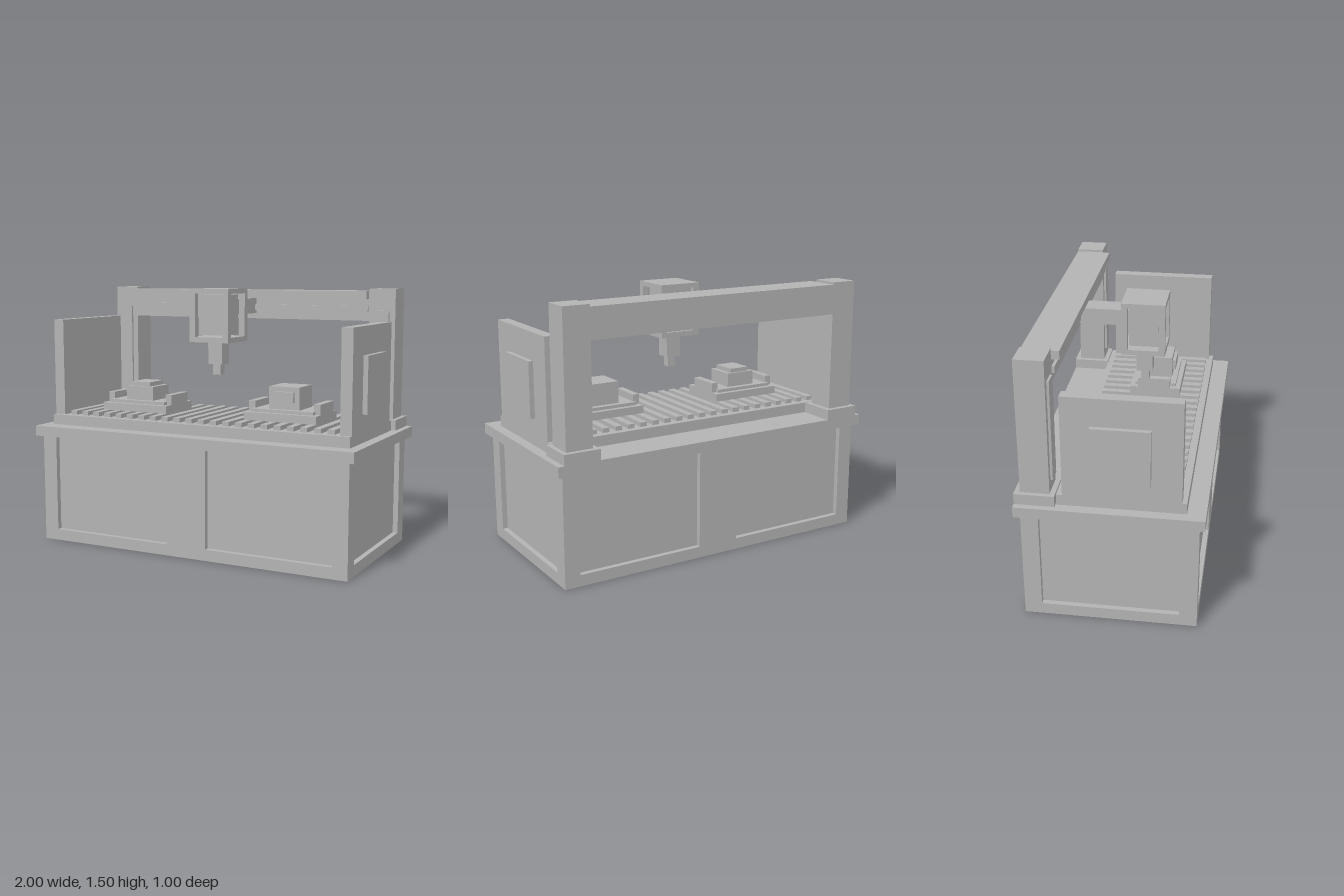
import * as THREE from 'three';

const grey = new THREE.MeshStandardMaterial({ color: 0xb3b3b3 });
grey.name = 'machine grey';

// Box given by its two extreme corners
function box(parent, name, [x0, x1], [y0, y1], [z0, z1]) {
  const mesh = new THREE.Mesh(new THREE.BoxGeometry(x1 - x0, y1 - y0, z1 - z0), grey);
  mesh.position.set((x0 + x1) / 2, (y0 + y1) / 2, (z0 + z1) / 2);
  mesh.name = name;
  parent.add(mesh);
  return mesh;
}

// The same box on the +x side and mirrored on the -x side
function pair(parent, name, [x0, x1], y, z) {
  box(parent, name + 'Left', [x0, x1], y, z);
  box(parent, name + 'Right', [-x1, -x0], y, z);
}

function group(parent, name) {
  const g = new THREE.Group();
  g.name = name;
  parent.add(g);
  return g;
}

// Cabinet: recessed core with bottom rail, corner posts and centre posts
function buildCabinet(root) {
  const g = group(root, 'cabinet');
  box(g, 'cabinetCore', [-0.935, 0.935], [0.065, 0.63], [-0.44, 0.44]);
  box(g, 'bottomRail', [-0.965, 0.965], [0, 0.065], [-0.47, 0.47]);
  for (const [z0, z1] of [[0.375, 0.47], [-0.47, -0.375]])
    pair(g, 'cornerPost', [0.875, 0.965], [0.065, 0.63], [z0, z1]);
  box(g, 'frontCentrePost', [-0.125, 0.125], [0.065, 0.63], [0.44, 0.47]);
  box(g, 'backCentrePost', [-0.125, 0.125], [0.065, 0.63], [-0.47, -0.44]);
  box(g, 'tableTop', [-1, 1], [0.63, 0.69], [-0.5, 0.5]);
}

// Work bed with a row of slats
function buildBed(root) {
  const g = group(root, 'workBed');
  box(g, 'bed', [-0.94, 0.94], [0.69, 0.75], [-0.28, 0.4]);
  for (let i = 0; i < 22; i++) {
    const x = (i - 10.5) * 0.0781;
    box(g, 'slat', [x - 0.02, x + 0.02], [0.75, 0.775], [-0.24, 0.36]);
  }
}

// Guard panels, columns and the cross beam
function buildGantry(root) {
  const g = group(root, 'gantry');
  pair(g, 'guardPanel', [0.875, 0.94], [0.75, 1.315], [-0.248, 0.375]);
  pair(g, 'guardPlate', [0.94, 0.967], [0.845, 1.16], [-0.095, 0.215]);
  pair(g, 'columnFoot', [0.755, 0.965], [0.69, 0.75], [-0.5, -0.285]);
  pair(g, 'column', [0.785, 0.94], [0.75, 1.5], [-0.47, -0.313]);
  pair(g, 'columnRail', [0.82, 0.905], [0.815, 1.375], [-0.313, -0.3]);
  box(g, 'beam', [-0.785, 0.785], [1.315, 1.487], [-0.47, -0.313]);
  box(g, 'upperBeamRail', [-0.78, 0.78], [1.44, 1.487], [-0.313, -0.27]);
  box(g, 'lowerBeamRail', [-0.78, 0.78], [1.365, 1.4], [-0.313, -0.297]);
}

// Tool head: open frame around a motor block, with arm and spindle
function buildHead(root) {
  const g = group(root, 'toolHead');
  box(g, 'arm', [-0.063, 0.063], [1.347, 1.438], [-0.313, -0.02]);
  box(g, 'headTop', [-0.125, 0.125], [1.473, 1.5], [-0.06, 0.187]);
  box(g, 'headBottom', [-0.125, 0.125], [1.195, 1.225], [-0.06, 0.187]);
  for (const z of [[-0.06, -0.025], [0.152, 0.187]])
    pair(g, 'headPost', [0.089, 0.125], [1.225, 1.473], z);
  box(g, 'motorBlock', [-0.084, 0.084], [1.235, 1.467], [-0.02, 0.147]);
  box(g, 'spindle', [-0.045, 0.045], [1.065, 1.195], [0.018, 0.108]);
  box(g, 'spindleTip', [-0.024, 0.024], [1.003, 1.065], [0.039, 0.087]);
}

// Fixture with base plates and side clamps, centred on its own x = 0
function buildFixture(root, name, x) {
  const g = group(root, name);
  g.position.x = x;
  box(g, 'fixtureBase', [-0.217, 0.217], [0.775, 0.82], [-0.065, 0.242]);
  box(g, 'fixturePlate', [-0.187, 0.187], [0.82, 0.838], [-0.035, 0.213]);
  pair(g, 'clamp', [0.177, 0.217], [0.82, 0.878], [-0.015, 0.18]);
  return g;
}

export function createModel() {
  const root = new THREE.Group();
  root.name = 'gantryMachine';
  buildCabinet(root);
  buildBed(root);
  buildGantry(root);
  buildHead(root);

  const right = buildFixture(root, 'rightFixture', -0.47);
  box(right, 'workpiece', [-0.092, 0.092], [0.838, 0.92], [0, 0.18]);
  box(right, 'workpieceCap', [-0.063, 0.063], [0.92, 0.945], [0.013, 0.165]);

  const left = buildFixture(root, 'leftFixture', 0.47);
  box(left, 'workpiece', [-0.092, 0.092], [0.838, 0.965], [0, 0.18]);
  box(left, 'workpieceFace', [-0.063, 0.063], [0.88, 0.938], [0.18, 0.2]);
  return root;
}
